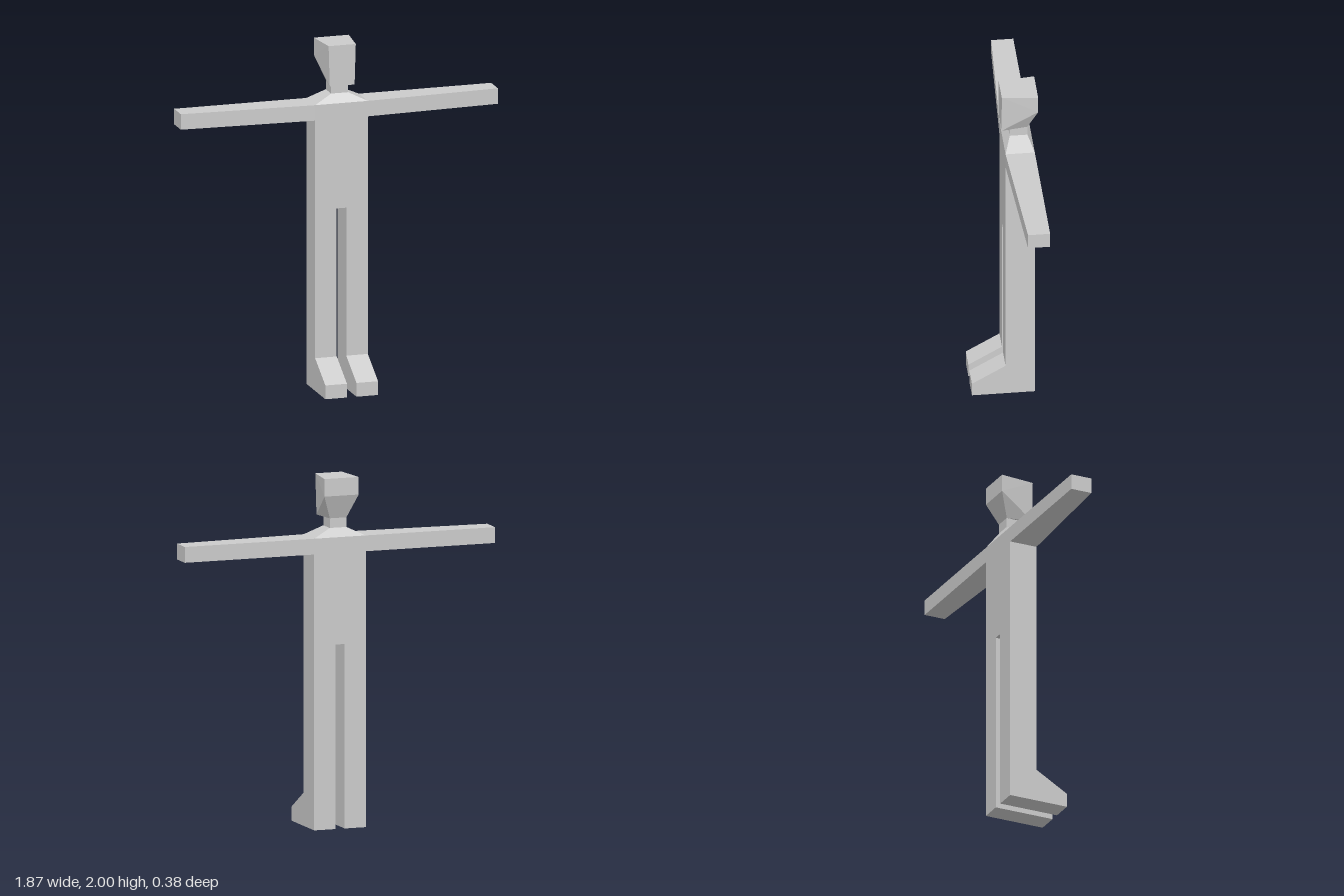
import * as THREE from 'three';
import { ConvexGeometry } from 'three/addons/geometries/ConvexGeometry.js';

const BACK = -0.165;
const HALF = 0.155;

export function createModel() {
  const group = new THREE.Group();
  const material = new THREE.MeshStandardMaterial({ color: 0xcccccc, flatShading: true });

  const add = (name, geometry) => {
    const mesh = new THREE.Mesh(geometry, material);
    mesh.name = name;
    group.add(mesh);
    return mesh;
  };
  // Faceted convex solid through the given corners
  const hull = (corners) => new ConvexGeometry(corners.map((c) => new THREE.Vector3(...c)));
  // The same corners on both sides of the body
  const mirrored = (corners) => corners.flatMap(([x, y, z]) => [[x, y, z], [-x, y, z]]);
  const prism = (outline, depth) => new THREE.ExtrudeGeometry(
    new THREE.Shape(outline.map((p) => new THREE.Vector2(...p))),
    { depth, bevelEnabled: false }
  );

  // Torso and legs: one outline with the gap between the legs
  const body = prism([
    [-HALF, 0], [-0.028, 0], [-0.028, 1.05], [0.028, 1.05], [0.028, 0],
    [HALF, 0], [HALF, 1.66], [-HALF, 1.66],
  ], -BACK);
  body.translate(0, 0, BACK);
  add('torsoAndLegs', body);

  // Sloping shoulders up to the neck
  add('shoulders', hull(mirrored([
    [HALF, 1.66, 0], [HALF, 1.66, BACK],
    [0.05, 1.71, -0.035], [0.05, 1.71, -0.135],
  ])));

  const neck = add('neck', new THREE.BoxGeometry(0.1, 0.055, 0.1));
  neck.position.set(0, 1.7375, -0.085);

  // Head: narrow face, wider back, undercut towards the neck
  add('head', hull(mirrored([
    [0.08, 2, 0.013], [0.073, 1.765, 0.013],
    [0.103, 2, -0.19], [0.103, 1.9, -0.19],
    [0.05, 1.765, -0.135],
  ])));

  for (const [side, s] of [['left', 1], ['right', -1]]) {
    // Arm: full depth at the shoulder, stepping in to a straight bar
    const section = [[HALF, 0], [0.2, -0.04], [0.933, -0.04], [0.933, BACK], [HALF, BACK]];
    add(side + 'Arm', hull(section.flatMap(([x, z]) => [[s * x, 1.57, z], [s * x, 1.66, z]])));

    // Foot: wedge profile in front of the leg
    const foot = prism([[0, 0], [0.19, 0], [0.19, 0.08], [0, 0.19]], HALF - 0.028);
    foot.rotateY(-Math.PI / 2);
    foot.translate(s > 0 ? HALF : -0.028, 0, 0);
    add(side + 'Foot', foot);
  }

  return group;
}
